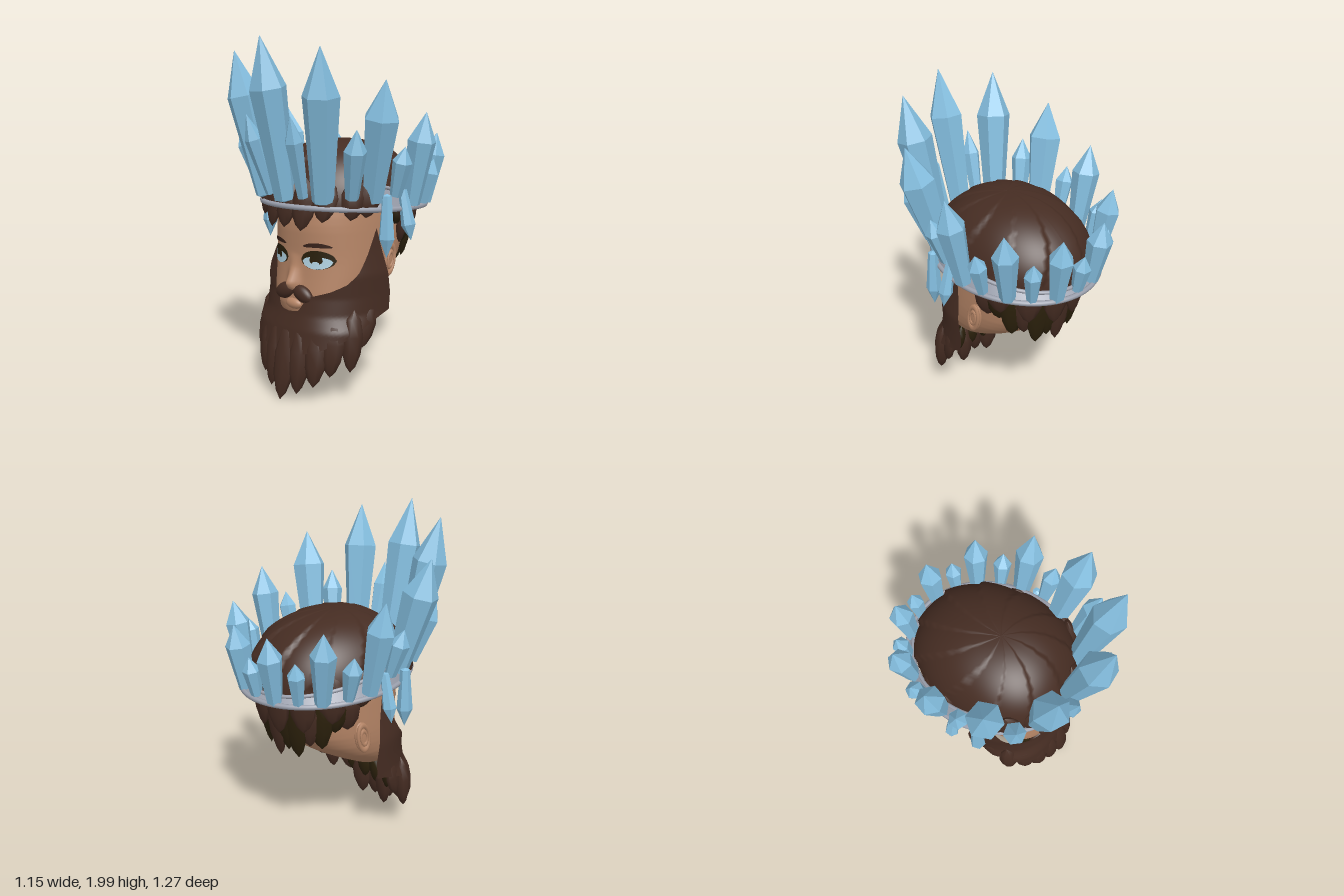
import * as THREE from 'three';

const mat = (name, color, flat = false) => {
  const m = new THREE.MeshStandardMaterial({ color, flatShading: flat, side: THREE.DoubleSide });
  m.name = name;
  return m;
};
const M = {
  crystal: mat('ice blue', 0x84bedf, true),
  metal: mat('crown grey', 0x9a9fac),
  hair: mat('dark brown hair', 0x452c22),
  under: mat('olive under hair', 0x2c210c),
  skin: mat('skin', 0xb78667),
  dark: mat('lash and iris', 0x2a200c),
  brow: mat('brow brown', 0x38221a),
  eye: mat('eye pale blue', 0xb4d6e6),
};

const V = (x, y, z) => new THREE.Vector3(x, y, z);
const DEG = Math.PI / 180;
const spow = (v, p) => Math.sign(v) * Math.abs(v) ** p;

// piecewise linear lookup in rows of [key, ...values]
function look(rows, k) {
  let i = 0;
  while (i < rows.length - 2 && k > rows[i + 1][0]) i++;
  const [a, b] = [rows[i], rows[i + 1]];
  const t = THREE.MathUtils.clamp((k - a[0]) / (b[0] - a[0]), 0, 1);
  return a.slice(1).map((v, j) => v + (b[j + 1] - v) * t);
}

// surface from a rule f(u, v) -> point
function surface(nu, nv, f) {
  const pos = [], idx = [];
  for (let j = 0; j <= nv; j++) for (let i = 0; i <= nu; i++) pos.push(...f(i / nu, j / nv));
  for (let j = 0; j < nv; j++) for (let i = 0; i < nu; i++) {
    const a = j * (nu + 1) + i, b = a + nu + 1;
    idx.push(a, a + 1, b, a + 1, b + 1, b);
  }
  const g = new THREE.BufferGeometry();
  g.setAttribute('position', new THREE.Float32BufferAttribute(pos, 3));
  g.setIndex(idx);
  g.computeVertexNormals();
  return g;
}

// head sections: y, front z, back z, half width
const HEAD = [
  [0.4, 0.27, 0.22, 0.005], [0.42, 0.34, 0.16, 0.12], [0.5, 0.385, 0.02, 0.22],
  [0.58, 0.385, -0.12, 0.28], [0.66, 0.375, -0.25, 0.305], [0.74, 0.368, -0.34, 0.318],
  [0.82, 0.365, -0.39, 0.322], [1.0, 0.375, -0.44, 0.322], [1.15, 0.35, -0.44, 0.315],
  [1.3, 0.22, -0.34, 0.24], [1.38, 0.05, -0.1, 0.01],
];
// section at a height, softened between rows
function section(y) {
  const d = Math.max(0, Math.min(0.04, y - 0.4, 1.38 - y));
  const lo = look(HEAD, y - d), hi = look(HEAD, y + d);
  return look(HEAD, y).map((m, i) => (lo[i] + m + hi[i]) / 3);
}
const N = 2.3;
// nose ridge: y, height
const NOSE = [[0.615, 0], [0.64, 0.045], [0.668, 0.066], [0.69, 0.055], [0.76, 0.018], [0.83, 0]];
const nose = (x, y) => look(NOSE, y)[0] * Math.exp(-((x / 0.034) ** 2));
function faceZ(x, y) {
  const [f, b, w] = section(y);
  return (f + b) / 2 + (f - b) / 2 * Math.max(0, 1 - (Math.abs(x) / w) ** N) ** (1 / N) + nose(x, y);
}

// beard sections: y, front z, back z, half width; edges by angle: degrees, top y, bottom y
const BEARD = [
  [0.2, 0.49, 0.27, 0.33], [0.3, 0.47, 0.22, 0.355], [0.42, 0.445, 0.16, 0.375],
  [0.5, 0.42, 0.0, 0.38], [0.6, 0.4, -0.01, 0.38], [0.72, 0.4, 0.01, 0.38], [0.85, 0.395, 0.035, 0.352],
  [0.97, 0.39, 0.06, 0.335],
];
const EDGE = [
  [0, 0.51, 0.28], [8, 0.52, 0.28], [14, 0.6, 0.29], [35, 0.64, 0.32], [50, 0.68, 0.36],
  [62, 0.74, 0.38], [75, 0.84, 0.42], [90, 0.97, 0.5],
];

// lower rail of the crown, which dips toward the back
const rail = (a) => V(0.45 * Math.sin(a), 1.08 + 0.03 * Math.cos(a), -0.06 + 0.52 * Math.cos(a));
function upperRail(a) {
  const c = Math.cos(a), p = rail(a);
  const s = (1 - THREE.MathUtils.smoothstep(c, 0.3, 0.6)) * (c + 1.3) / 1.6;
  return V(p.x * 0.91, p.y + 0.015 + 0.1 * s, -0.06 + (p.z + 0.06) * 0.93);
}

export function createModel() {
  const root = new THREE.Group();
  const add = (name, geo, m, parent = root) => {
    const mesh = new THREE.Mesh(geo, m);
    mesh.name = name;
    parent.add(mesh);
    return mesh;
  };
  const group = (name) => {
    const g = new THREE.Group();
    g.name = name;
    root.add(g);
    return g;
  };
  const ball = (name, m, p, s, rz = 0, rx = 0) => {
    const b = add(name, new THREE.SphereGeometry(1, 20, 14), m);
    b.position.set(...p);
    b.scale.set(...s);
    b.rotation.set(rx, 0, rz);
  };
  // spindle from one point to another, local z facing outward
  const spindle = (name, parent, m, from, to, profile, sides, rx, rz) => {
    const g = new THREE.LatheGeometry(profile.map(([r, y]) => new THREE.Vector2(r, y)), sides, Math.PI / sides);
    const mesh = add(name, g, m, parent);
    const dir = to.clone().sub(from), len = dir.length();
    const y = dir.normalize();
    const out = V(from.x, 0, from.z);
    const z = out.addScaledVector(y, -out.dot(y)).normalize();
    mesh.quaternion.setFromRotationMatrix(new THREE.Matrix4().makeBasis(V(0, 0, 0).crossVectors(y, z), y, z));
    mesh.position.copy(from);
    mesh.scale.set(rx, len, rz);
  };
  const LOCK = [[0, 0], [0.7, 0.15], [1, 0.42], [0.85, 0.7], [0.45, 0.9], [0, 1]];
  const lock = (name, parent, m, from, to, w, d) => spindle(name, parent, m, V(...from), V(...to), LOCK, 8, w, d);

  // head with nose
  add('head', surface(160, 90, (u, v) => {
    const y = 0.4 + 0.98 * v, [f, b, w] = section(y), a = Math.PI + u * Math.PI * 2, c = Math.cos(a);
    const x = w * spow(Math.sin(a), 2 / N);
    return [x, y, (f + b) / 2 + (f - b) / 2 * spow(c, 2 / N) + (c > 0 ? nose(x, y) : 0)];
  }), M.skin);
  ball('lips', M.skin, [0, 0.545, 0.376], [0.06, 0.032, 0.03]);

  // thin facial plates that follow the face
  const plate = (name, m, cx, cy, hw, lo, hi, off, arch = 0) =>
    add(name, surface(16, 4, (u, v) => {
      const t = 2 * u - 1, s = 1 - t * t, x = cx + hw * t;
      const y = cy + arch * s + (lo + (hi - lo) * v) * s ** 0.55;
      return [x, y, faceZ(x, y) + off];
    }), m);
  for (const s of [-1, 1]) {
    const x = s * 0.142;
    plate('eyeLash', M.dark, x, 0.805, 0.092, -0.05, 0.055, 0.004);
    plate('eyeWhite', M.eye, x, 0.798, 0.08, -0.042, 0.028, 0.007);
    plate('iris', M.dark, x, 0.805, 0.036, -0.022, 0.036, 0.01);
    plate('irisGlow', M.eye, x, 0.79, 0.02, -0.012, 0.01, 0.012);
    plate('eyebrow', M.brow, x, 0.88, 0.078, -0.013, 0.013, 0.006, 0.01);

    // ear with raised rim
    ball('ear', M.skin, [s * 0.314, 0.77, -0.07], [0.022, 0.1, 0.05], 0, -0.2);
    for (const [name, r, tube, dx] of [['earRim', 0.04, 0.01, 0.33], ['earFold', 0.022, 0.007, 0.334]]) {
      const rim = add(name, new THREE.TorusGeometry(r, tube, 8, 24), M.skin);
      rim.position.set(s * dx, 0.77, -0.07);
      rim.rotation.set(-0.2, Math.PI / 2, 0);
      rim.scale.y = 2;
    }

    ball('moustache', M.hair, [s * 0.066, 0.61, 0.376], [0.075, 0.046, 0.036], -s * 0.4);
  }

  // beard shell wrapped around the jaw, then hanging locks
  add('beard', surface(72, 20, (u, v) => {
    const deg = 180 * u - 90, [top, bot] = look(EDGE, Math.abs(deg));
    const y = bot + (top - bot) * v, [f, b, w] = look(BEARD, y);
    return [w * spow(Math.sin(deg * DEG), 0.87), y, b + (f - b) * spow(Math.cos(deg * DEG), 0.87)];
  }), M.hair);
  ball('beardRoot', M.hair, [0, 0.42, 0.35], [0.2, 0.06, 0.06]);
  const beardLocks = group('beardLocks');
  lock('beardLock', beardLocks, M.hair, [0, 0.46, 0.41], [0, 0.01, 0.5], 0.078, 0.048);
  // from, to, width, depth
  const locks = [
    [[0.09, 0.46, 0.4], [0.1, 0.06, 0.47], 0.07, 0.05], [[0.18, 0.47, 0.37], [0.19, 0.11, 0.43], 0.072, 0.05],
    [[0.26, 0.49, 0.32], [0.26, 0.17, 0.37], 0.068, 0.05], [[0.325, 0.54, 0.24], [0.33, 0.19, 0.28], 0.062, 0.05],
    [[0.35, 0.56, 0.12], [0.34, 0.31, 0.2], 0.06, 0.03],
    [[0.05, 0.42, 0.36], [0.05, 0.05, 0.41], 0.07, 0.05], [[0.1, 0.42, 0.32], [0.1, 0.07, 0.34], 0.07, 0.05],
  ];
  for (const s of [-1, 1]) {
    for (const [a, b, w, d] of locks)
      lock('beardLock', beardLocks, M.hair, [s * a[0], a[1], a[2]], [s * b[0], b[1], b[2]], w, d);
    for (const x of [0.05, 0.15])
      lock('underLock', beardLocks, M.under, [s * x, 0.42, 0.29], [s * x, 0.22, 0.31], 0.05, 0.03);
  }

  // hair cap with swirling strands
  add('hairCap', surface(120, 28, (u, v) => {
    const a = Math.PI + u * Math.PI * 2, p = v * Math.PI / 2, c = Math.cos(a);
    const strand = (u * 11 + v * 0.8) % 1;
    const k = Math.sin(p) ** 0.88 * (0.985 + 0.035 * strand * Math.sin(p));
    const z = (c > 0 ? 0.43 : 0.525) * spow(c, 0.92) * k;
    return [0.4 * spow(Math.sin(a), 0.92) * k, 1.09 + 0.36 * Math.cos(p) + 0.012 * strand * Math.sin(p), z];
  }), M.hair);

  // fringe points along the brow, with tufts at the temples
  const fringe = group('fringe');
  const tips = [0.99, 0.98, 1.03, 1.04];
  for (let i = -3; i <= 3; i++) {
    const x = i * 0.112, z = 0.45 * Math.sqrt(1 - (x / 0.43) ** 2);
    lock('fringeLock', fringe, M.hair, [x, 1.26, z - 0.05], [x * 0.98, tips[Math.abs(i)], z], 0.075, 0.035);
  }
  for (const s of [-1, 1])
    lock('templeTuft', fringe, M.hair, [s * 0.37, 1.26, 0.16], [s * 0.37, 1.05, 0.2], 0.08, 0.035);

  // back hair: dark shell with two layers of broad locks
  const backHair = group('backHair');
  add('backShell', surface(36, 8, (u, v) => {
    const t = 2 * u - 1, a = t * 78 * DEG, y = 1.12 - v * (0.32 - 0.22 * t * t), k = 0.97 - 0.1 * v;
    return [0.4 * k * Math.sin(a), y, -0.03 - 0.47 * k * Math.cos(a)];
  }), M.under, backHair);
  for (let i = -7; i <= 7; i++) {
    const a = i * 11 * DEG, rise = 0.27 * (i / 7) ** 2, odd = Math.abs(i % 2);
    const x = 0.39 * Math.sin(a), z = -0.46 * Math.cos(a);
    const inner = i % 3 ? M.under : M.hair;
    lock('innerLock', backHair, inner, [x * 0.94, 1.1, z * 0.94 - 0.03], [x * 0.88, 0.65 + rise + 0.05 * odd, z * 0.84 - 0.02], 0.075, 0.035);
    if (odd) lock('outerLock', backHair, M.hair, [x, 1.2, z - 0.03], [x * 0.97, 0.83 + rise * 0.6, z * 0.97 - 0.03], 0.085, 0.035);
  }

  // crown band and rails
  const crown = group('crown');
  add('crownBand', surface(96, 1, (u, v) => {
    const a = u * Math.PI * 2;
    return (v ? upperRail(a) : rail(a)).toArray();
  }), M.metal, crown);
  for (const [name, f, r] of [['lowerRail', rail, 0.015], ['upperRail', upperRail, 0.011]]) {
    const pts = Array.from({ length: 40 }, (_, i) => f(i / 40 * Math.PI * 2));
    add(name, new THREE.TubeGeometry(new THREE.CatmullRomCurve3(pts, true), 100, r, 8, true), M.metal, crown);
  }

  // crystals: base, tip, radius
  const crystals = group('crystals');
  const GEM = [[0, 0], [0.6, 0.03], [1, 0.7], [0, 1]];
  const gem = (b, t, r) => spindle('crystal', crystals, M.crystal, V(...b), V(...t), GEM, 6, r, r);
  const gems = [
    [[0.12, 1.15, 0.42], [0.165, 1.6, 0.56], 0.052], [[0.215, 1.12, 0.37], [0.32, 1.94, 0.5], 0.1],
    [[0.34, 1.15, 0.28], [0.44, 1.53, 0.36], 0.062], [[0.365, 1.12, 0.14], [0.515, 1.78, 0.22], 0.1],
    [[0.43, 1.15, 0.02], [0.51, 1.43, 0.04], 0.055], [[0.43, 1.08, -0.13], [0.53, 1.61, -0.12], 0.08],
    [[0.41, 1.08, -0.26], [0.475, 1.34, -0.28], 0.053], [[0.34, 1.06, -0.38], [0.4, 1.48, -0.42], 0.071],
    [[0.25, 1.06, -0.47], [0.28, 1.31, -0.51], 0.05], [[0.13, 1.04, -0.53], [0.15, 1.43, -0.585], 0.07],
    // hanging at the temples
    [[0.45, 1.18, 0.12], [0.455, 0.83, 0.125], 0.045], [[0.44, 1.19, -0.03], [0.505, 0.91, -0.03], 0.04],
  ];
  gem([0, 1.12, 0.43], [0, 2, 0.605], 0.1);
  gem([0, 1.04, -0.55], [0, 1.29, -0.6], 0.05);
  for (const s of [-1, 1]) for (const [b, t, r] of gems) gem([s * b[0], b[1], b[2]], [s * t[0], t[1], t[2]], r);

  return root;
}
